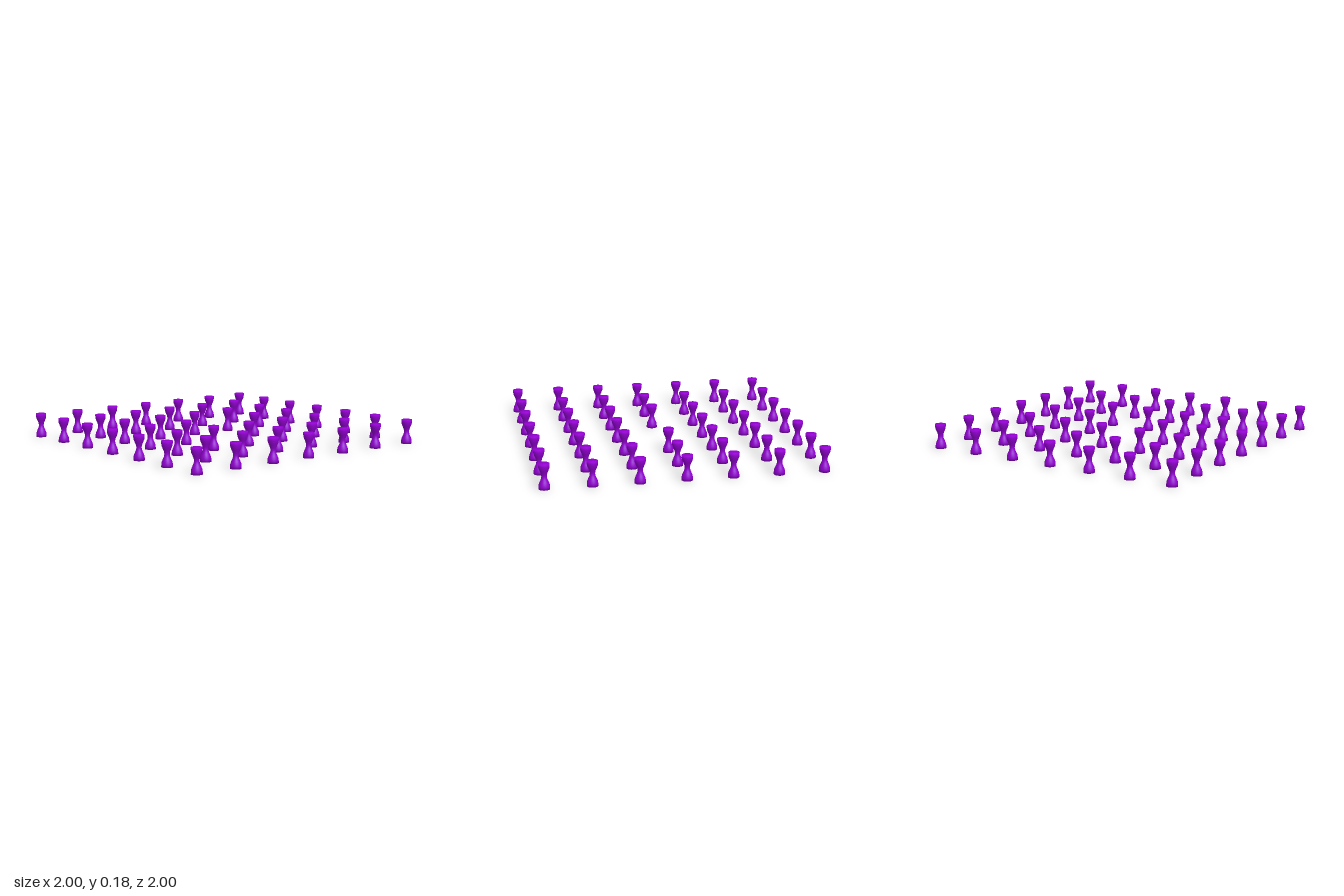
import * as THREE from 'three';

const COUNT = 7;        // pegs per side of the square grid
const SPACING = 0.3204;
const HEIGHT = 0.176;
const RADIUS = 0.0387;

// Hourglass peg, closed at both ends, smooth shaded across the rims
function pegGeometry() {
  const half = [[0, 0], [RADIUS, 0], [0.0382, 0.018], [0.0358, 0.034], [0.0295, 0.05], [0.0225, 0.066], [0.019, 0.078]];
  const profile = [
    ...half,
    [0.018, HEIGHT / 2],
    ...half.map(([r, y]) => [r, HEIGHT - y]).reverse(),
  ].map(([r, y]) => new THREE.Vector2(r, y));
  return new THREE.LatheGeometry(profile, 32);
}

export function createModel() {
  const model = new THREE.Group();
  model.name = 'pegGrid';
  const geometry = pegGeometry();
  const material = new THREE.MeshStandardMaterial({ color: 0x9400d3 });
  const mid = (COUNT - 1) / 2;

  // Square grid of pegs with the centre place left empty
  for (let row = 0; row < COUNT; row++) {
    for (let col = 0; col < COUNT; col++) {
      if (row === mid && col === mid) continue;
      const peg = new THREE.Mesh(geometry, material);
      peg.name = `peg_row${row + 1}_column${col + 1}`;
      peg.position.set((col - mid) * SPACING, 0, (row - mid) * SPACING);
      model.add(peg);
    }
  }
  return model;
}
